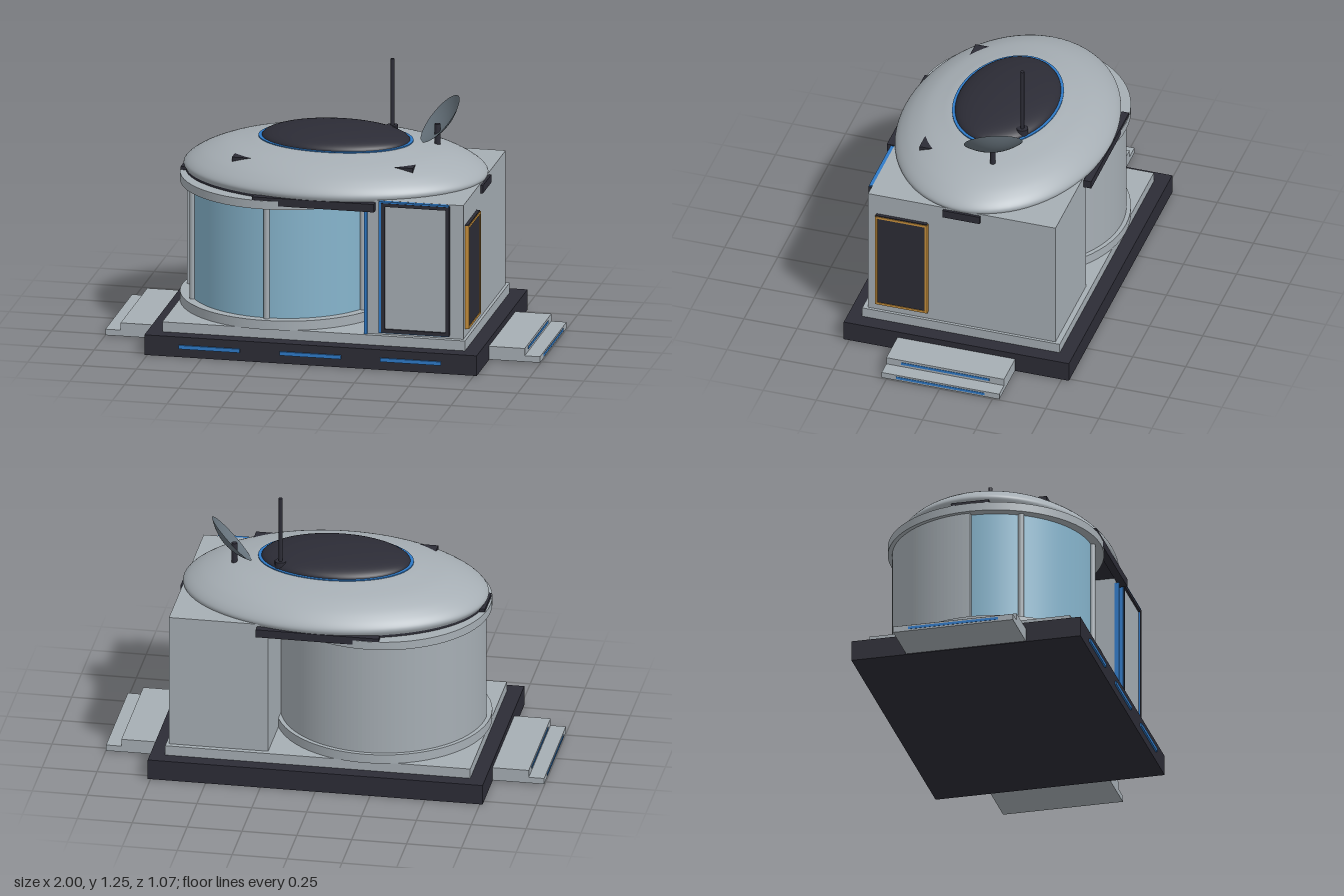
import * as THREE from 'three';

const mat = (name, color, side = THREE.FrontSide) => {
  const m = new THREE.MeshStandardMaterial({ color, side });
  m.name = name;
  return m;
};

export function createModel() {
  const hull = mat('hull grey', 0xa6aeb4);
  const dark = mat('charcoal', 0x2c2c36);
  const glass = mat('window blue', 0x86b4cc);
  const blue = mat('accent blue', 0x2e7ac8);
  const orange = mat('amber trim', 0xc8903c);
  const slate = mat('dish slate', 0x66727b, THREE.DoubleSide);

  const model = new THREE.Group();
  model.name = 'habitatModule';
  const body = new THREE.Group();
  body.name = 'body';
  body.position.z = -0.004;
  model.add(body);

  const add = (name, geo, material, x = 0, y = 0, z = 0) => {
    const mesh = new THREE.Mesh(geo, material);
    mesh.name = name;
    mesh.position.set(x, y, z);
    body.add(mesh);
    return mesh;
  };
  // Box given by its minimum and maximum on each axis
  const box = (name, material, x0, x1, y0, y1, z0, z1) =>
    add(name, new THREE.BoxGeometry(x1 - x0, y1 - y0, z1 - z0), material,
      (x0 + x1) / 2, (y0 + y1) / 2, (z0 + z1) / 2);
  const cyl = (name, material, r, y0, y1, x, z, sides = 16) =>
    add(name, new THREE.CylinderGeometry(r, r, y1 - y0, sides), material, x, (y0 + y1) / 2, z);
  // Rectangular frame in the xy plane, extruded towards +z
  const frame = (w, h, t, depth) => {
    const rect = (Kind, a, b) => new Kind([[-a, -b], [a, -b], [a, b], [-a, b]].map(p => new THREE.Vector2(...p)));
    const s = rect(THREE.Shape, w / 2, h / 2);
    s.holes.push(rect(THREE.Path, w / 2 - t, h / 2 - t));
    return new THREE.ExtrudeGeometry(s, { depth, bevelEnabled: false });
  };

  // Foundation
  box('foundation', dark, -0.763, 0.763, 0, 0.094, -0.53, 0.53);
  box('floorPlate', hull, -0.695, 0.695, 0.094, 0.14, -0.465, 0.465);
  for (const x of [-0.465, 0, 0.46])
    box('foundationLight', blue, x - 0.14, x + 0.14, 0.04, 0.057, 0.53, 0.538);

  // Entry steps on both sides, with a light strip on each riser
  for (const s of [-1, 1]) {
    const step = (x, y0, y1) => {
      box('step', hull, Math.min(s * 0.76, s * x), Math.max(s * 0.76, s * x), y0, y1, -0.277, 0.277);
      const ym = (y0 + y1) / 2, xa = s * (x - 0.004), xb = s * (x + 0.002);
      box('stepLight', blue, Math.min(xa, xb), Math.max(xa, xb), ym - 0.006, ym + 0.006, -0.208, 0.208);
    };
    step(0.928, 0.031, 0.065);
    step(0.998, 0.003, 0.031);
  }

  // Round cabin: solid rear wall, curved window in front
  const cx = -0.22;
  const half = new THREE.Shape();
  half.absarc(0, 0, 0.465, 0, Math.PI, false);
  const wallGeo = new THREE.ExtrudeGeometry(half, { depth: 0.56, bevelEnabled: false, curveSegments: 40 });
  wallGeo.rotateX(-Math.PI / 2);
  add('cabinRearWall', wallGeo, hull, cx, 0.16, 0);
  add('cabinWindow', new THREE.CylinderGeometry(0.442, 0.442, 0.56, 40, 1, true, -Math.PI / 2, Math.PI), glass, cx, 0.44, 0);
  for (const deg of [-61, 0, 61]) {
    const a = THREE.MathUtils.degToRad(deg);
    cyl('windowPost', hull, 0.014, 0.16, 0.72, cx + 0.447 * Math.sin(a), 0.447 * Math.cos(a), 12);
  }
  cyl('cabinLowerRing', hull, 0.485, 0.14, 0.183, cx, 0, 64);
  cyl('cabinUpperRing', hull, 0.485, 0.703, 0.742, cx, 0, 64);

  // Square annex
  box('annex', hull, 0.23, 0.682, 0.14, 0.766, -0.441, 0.441);
  box('annexCornerStrip', blue, 0.229, 0.243, 0.14, 0.72, 0.435, 0.455);

  // Front door
  add('doorSurround', frame(0.32, 0.615, 0.014, 0.016), blue, 0.457, 0.458, 0.441);
  add('doorFrame', frame(0.312, 0.605, 0.016, 0.018), dark, 0.464, 0.456, 0.441);
  box('doorPanel', hull, 0.315, 0.605, 0.165, 0.75, 0.441, 0.45);

  // Side hatch with amber trim
  box('sideHatch', dark, 0.68, 0.697, 0.177, 0.665, 0.161, 0.401);
  const trim = add('sideHatchTrim', frame(0.246, 0.482, 0.011, 0.02), orange, 0.68, 0.419, 0.281);
  trim.rotation.y = Math.PI / 2;

  // Vent blocks under the eaves
  for (const s of [-1, 1]) {
    box('longVent', dark, -0.28, 0.28, 0.72, 0.757, s * 0.463 - 0.018, s * 0.463 + 0.018);
    box('shortVent', dark, s * 0.68 - 0.014, s * 0.68 + 0.014, 0.72, 0.757, -0.087, 0.087);
  }

  // Oval roof: dark soffit, dome, accent ring and skylight
  const oval = (name, material, pts) => {
    const curve = new THREE.SplineCurve(pts.map(p => new THREE.Vector2(...p)));
    const mesh = add(name, new THREE.LatheGeometry(curve.getPoints(40), 72), material);
    mesh.scale.set(0.692, 1, 0.485);
    return mesh;
  };
  const soffit = cyl('roofSoffit', dark, 0.985, 0.744, 0.758, 0, 0, 72);
  soffit.scale.set(0.692, 1, 0.485);
  oval('roofDome', hull, [[0.985, 0.755], [1, 0.775], [0.985, 0.795], [0.94, 0.82], [0.86, 0.85],
    [0.74, 0.88], [0.6, 0.9], [0.48, 0.912], [0.2, 0.925], [0, 0.927]]);
  const ring = cyl('skylightRing', blue, 1, 0.898, 0.915, 0, 0, 64);
  ring.scale.set(0.352, 1, 0.238);
  const cap = add('skylight', new THREE.SphereGeometry(1, 64, 16, 0, Math.PI * 2, 0, Math.PI / 2), dark, 0, 0.912, 0);
  cap.scale.set(0.338, 0.062, 0.226);

  // Triangular fins emerging from the dome
  for (const s of [-1, 1]) {
    const tri = new THREE.Shape([[0.415, -0.185], [0.415, -0.285], [0.28, -0.285]]
      .map(([x, y]) => new THREE.Vector2(s * x, y)));
    const geo = new THREE.ExtrudeGeometry(tri, { depth: 0.027, bevelEnabled: false });
    geo.rotateX(-Math.PI / 2);
    add('roofFin', geo, dark, 0, 0.85, 0);
  }

  // Antenna
  cyl('antennaBase', dark, 0.026, 0.9, 0.945, 0.228, -0.14);
  cyl('antennaMast', dark, 0.009, 0.91, 1.255, 0.228, -0.14, 12);

  // Dish and its support
  cyl('dishPost', dark, 0.013, 0.86, 0.985, 0.45, -0.072);
  const profile = [];
  for (let i = 0; i <= 10; i++) {
    const r = 0.132 * i / 10;
    profile.push(new THREE.Vector2(r, 0.038 * (i / 10) ** 2));
  }
  const dish = add('dish', new THREE.LatheGeometry(profile, 40), slate, 0.488, 0.982, -0.088);
  dish.quaternion.setFromUnitVectors(new THREE.Vector3(0, 1, 0), new THREE.Vector3(-0.7, 0.65, 0.28).normalize());

  return model;
}
